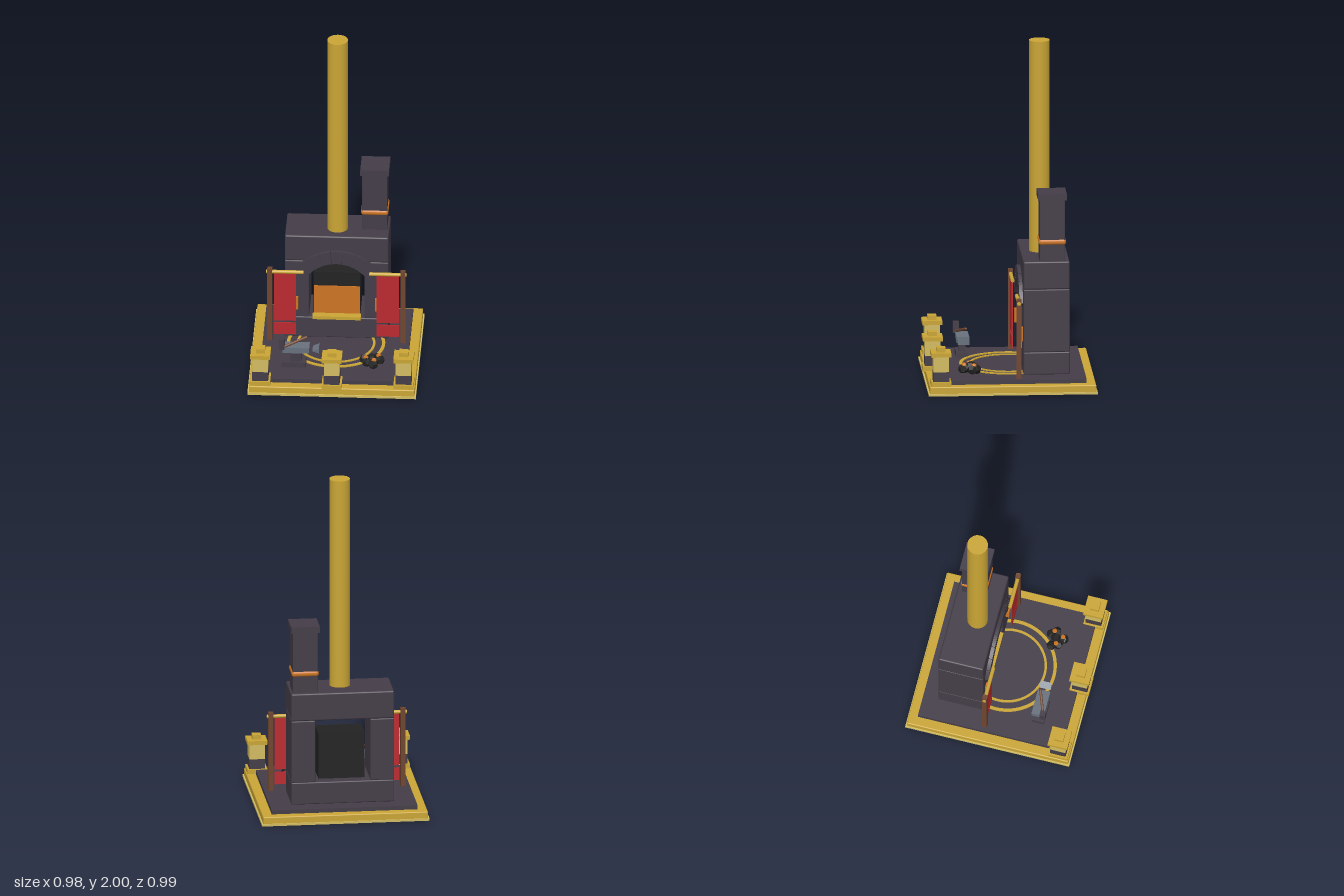
import * as THREE from 'three';
import { RoundedBoxGeometry } from 'three/addons/geometries/RoundedBoxGeometry.js';

const mat = (name, color, flatShading = false) => {
  const m = new THREE.MeshStandardMaterial({ color, flatShading });
  m.name = name;
  return m;
};

export function createModel() {
  const stone = mat('dark stone', 0x443d48);
  const gold = mat('gold', 0xcaa535);
  const paleGold = mat('pale gold', 0xd2bc62);
  const black = mat('soot black', 0x222222, true);
  const orange = mat('ember orange', 0xcc7422);
  const red = mat('banner red', 0xbb2a30);
  const wood = mat('wood', 0x6f452f);
  const steel = mat('steel', 0x67717d);

  const model = new THREE.Group();
  model.name = 'forge';

  const add = (name, geometry, material, parent = model) => {
    const mesh = new THREE.Mesh(geometry, material);
    mesh.name = name;
    parent.add(mesh);
    return mesh;
  };
  const group = (name, x = 0, y = 0, z = 0) => {
    const g = new THREE.Group();
    g.name = name;
    g.position.set(x, y, z);
    model.add(g);
    return g;
  };
  // Box given by its limits on each axis, with optional rounded edges
  const box = (name, [x0, x1], [y0, y1], [z0, z1], material, parent = model, r = 0) => {
    const size = [x1 - x0, y1 - y0, z1 - z0];
    const g = r ? new RoundedBoxGeometry(...size, 2, r) : new THREE.BoxGeometry(...size);
    g.translate((x0 + x1) / 2, (y0 + y1) / 2, (z0 + z1) / 2);
    return add(name, g, material, parent);
  };

  // Stepped base and floor
  box('baseLip', [-0.488, 0.488], [0.003, 0.016], [-0.495, 0.484], paleGold);
  box('basePlate', [-0.48, 0.48], [0, 0.056], [-0.488, 0.476], gold, model, 0.006);
  box('floor', [-0.425, 0.425], [0.05, 0.08], [-0.435, 0.422], stone);

  // Inlaid floor rings
  for (const [inner, outer] of [[0.214, 0.228], [0.266, 0.285]]) {
    const shape = new THREE.Shape().absarc(0, 0, outer, 0, Math.PI * 2);
    shape.holes.push(new THREE.Path().absarc(0, 0, inner, 0, Math.PI * 2, true));
    const g = new THREE.ExtrudeGeometry(shape, { depth: 0.008, bevelEnabled: false, curveSegments: 48 });
    g.rotateX(-Math.PI / 2).translate(0, 0.078, -0.008);
    add('floorRing', g, gold);
  }

  // Furnace body: plinth, two side walls and lintel around an open hearth
  const bodyZ = [-0.345, -0.077];
  box('plinth', [-0.3, 0.3], [0.08, 0.213], bodyZ, stone, model, 0.007);
  box('lintel', [-0.3, 0.3], [0.585, 0.75], bodyZ, stone, model, 0.009);
  for (const s of [-1, 1]) {
    const xs = s > 0 ? [0.16, 0.3] : [-0.3, -0.16];
    box('sideWall', xs, [0.213, 0.585], bodyZ, stone, model, 0.006);
    box('wallGlow', s > 0 ? [0.222, 0.262] : [-0.262, -0.222], [0.27, 0.35], [-0.08, -0.057], orange);
  }
  box('firebox', [-0.135, 0.135], [0.21, 0.488], [-0.28, -0.12], black);
  box('fireGlow', [-0.133, 0.133], [0.213, 0.4], [-0.121, -0.113], orange);
  box('hearthSill', [-0.14, 0.14], [0.203, 0.222], [-0.113, -0.068], gold);

  // Arch of separate wedge stones
  const blocks = 9, start = 0.44, step = (Math.PI - 2 * start) / blocks;
  for (let i = 0; i < blocks; i++) {
    const a = start + i * step + 0.004, b = start + (i + 1) * step - 0.004;
    const shape = new THREE.Shape().absarc(0, 0, 0.29, a, b, false).absarc(0, 0, 0.21, b, a, true);
    const g = new THREE.ExtrudeGeometry(shape, { depth: 0.036, bevelEnabled: false, curveSegments: 3 });
    g.translate(0, 0.37, -0.092);
    add('archStone', g, stone);
  }

  // Tall pipe
  add('pipe', new THREE.CylinderGeometry(0.06, 0.06, 1.26, 32), gold).position.set(0, 1.37, -0.187);

  // Square chimney with a glowing band
  const chimney = group('chimney', 0.215, 0, -0.245);
  box('chimneyShaft', [-0.073, 0.073], [0.745, 1.12], [-0.073, 0.073], stone, chimney, 0.004);
  box('chimneyCap', [-0.083, 0.083], [1.112, 1.15], [-0.083, 0.083], stone, chimney);
  box('chimneyBand', [-0.079, 0.079], [0.846, 0.88], [-0.079, 0.079], orange, chimney, 0.014);

  // Banners on poles, mirrored
  for (const s of [-1, 1]) {
    const banner = group('banner', 0, 0, -0.044);
    const span = (a, b) => (s > 0 ? [a, b] : [-b, -a]);
    box('bannerPole', span(0.371, 0.4), [0.08, 0.552], [-0.014, 0.014], wood, banner);
    const rod = add('bannerRod', new THREE.CylinderGeometry(0.011, 0.011, 0.216, 16), gold, banner);
    rod.rotation.z = Math.PI / 2;
    rod.position.set(s * 0.299, 0.527, 0);
    box('bannerCloth', span(0.233, 0.362), [0.205, 0.518], [-0.004, 0.004], red, banner);
    box('bannerHem', span(0.233, 0.362), [0.115, 0.19], [-0.004, 0.004], red, banner);
  }

  // Lantern posts along the front
  for (const [x, z] of [[-0.415, 0.41], [0, 0.433], [0.415, 0.41]]) {
    const post = group('lanternPost', x, 0, z);
    const tier = (name, half, y, m) => box(name, [-half, half], y, [-half, half], m, post);
    tier('postFoot', 0.058, [0.05, 0.082], gold);
    tier('postBase', 0.046, [0.08, 0.14], stone);
    tier('postLantern', 0.045, [0.14, 0.235], paleGold);
    tier('postCap', 0.058, [0.23, 0.254], gold);
    tier('postFinial', 0.026, [0.254, 0.28], gold);
  }

  // Anvil with a separate wedge horn
  const anvil = group('anvil');
  box('anvilBase', [-0.3, -0.16], [0.08, 0.112], [0.215, 0.285], stone, anvil);
  box('anvilNeck', [-0.25, -0.185], [0.11, 0.177], [0.228, 0.27], stone, anvil);
  box('anvilTop', [-0.295, -0.14], [0.173, 0.208], [0.21, 0.283], steel, anvil);
  const wedge = new THREE.Shape([[-0.122, 0.187], [-0.084, 0.174], [-0.084, 0.205]].map(p => new THREE.Vector2(...p)));
  add('anvilHorn', new THREE.ExtrudeGeometry(wedge, { depth: 0.068, bevelEnabled: false }).translate(0, 0, 0.212), steel, anvil);

  // Hammer resting on the anvil
  const from = new THREE.Vector3(-0.298, 0.208, 0.281), to = new THREE.Vector3(-0.158, 0.252, 0.229);
  add('hammerHandle', new THREE.TubeGeometry(new THREE.LineCurve3(from, to), 1, 0.008, 10), wood, anvil)
    .material = wood;
  const tip = add('hammerHandleEnd', new THREE.SphereGeometry(0.008, 10, 6), wood, anvil);
  tip.position.copy(to);
  box('hammerHead', [-0.315, -0.282], [0.2, 0.266], [0.262, 0.295], stone, anvil);

  // Coal heap with glowing embers
  const coal = group('coalHeap', 0.22, 0.08, 0.23);
  const lumps = [[-0.045, -0.022], [0.025, -0.038], [0.046, -0.012], [-0.03, 0.014], [0.006, 0.032], [0.0, -0.008], [0.01, 0.04]];
  lumps.forEach(([x, z], i) => {
    const lump = add('coalLump', new THREE.DodecahedronGeometry(0.029, 0), black, coal);
    lump.position.set(x, i === 5 ? 0.04 : 0.026, z);
    lump.rotation.set(i * 1.3, i * 0.7, i * 2.1);
  });
  for (const [x, z] of [[0.038, -0.022], [-0.034, 0.004], [0.014, 0.034]]) {
    add('ember', new THREE.IcosahedronGeometry(0.016, 0), orange, coal).position.set(x, 0.05, z);
  }

  return model;
}
